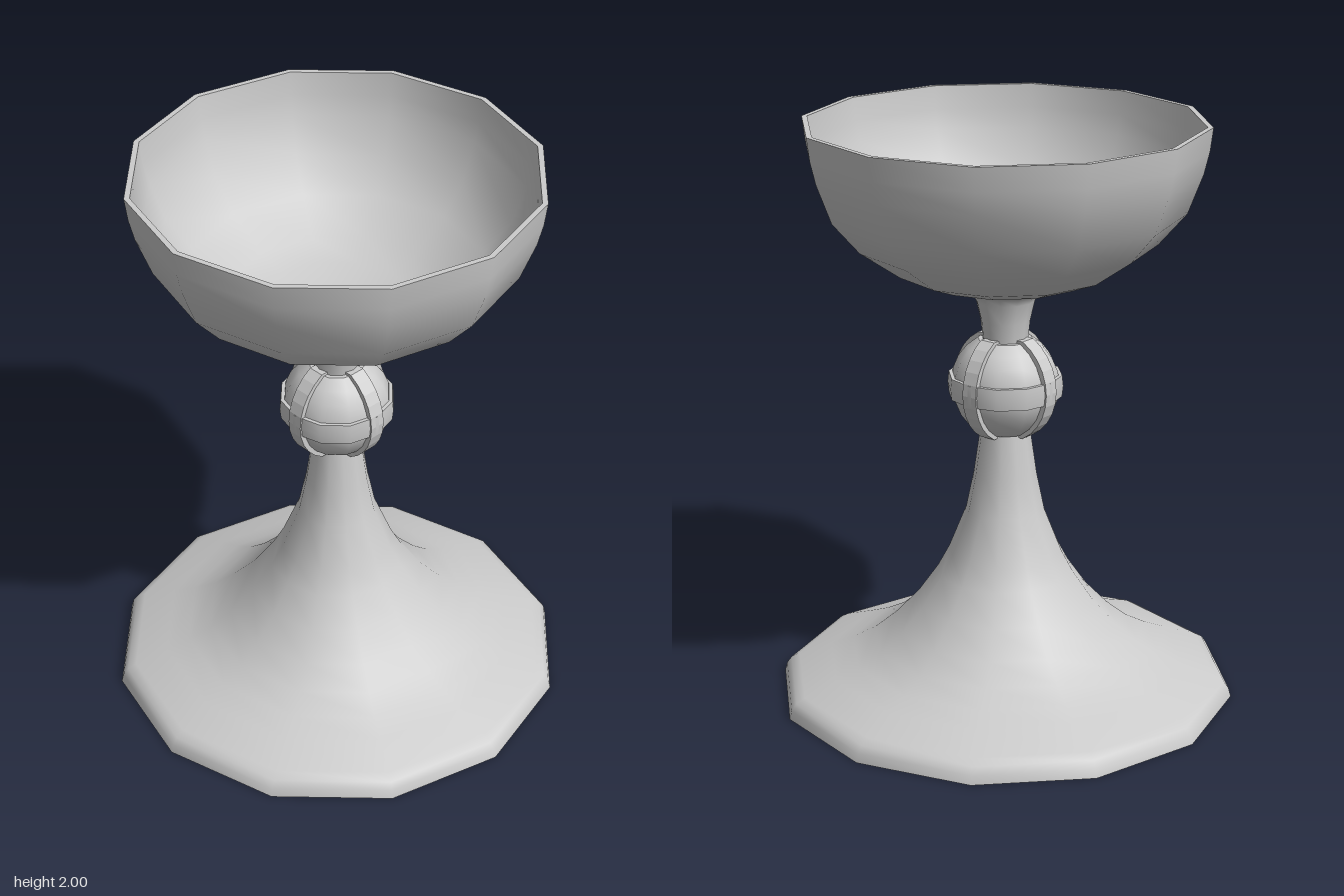
import * as THREE from 'three';

const SIDES = 12;
const KNOB_Y = 1.105;
const material = new THREE.MeshStandardMaterial({ color: 0xcccccc });

export function createModel() {
  const model = new THREE.Group();

  const add = (name, geometry, parent = model) => {
    const mesh = new THREE.Mesh(geometry, material);
    mesh.name = name;
    parent.add(mesh);
    return mesh;
  };
  // Twelve-sided turned surface; points run upwards on outward faces
  const turn = (name, profile, parent) =>
    add(name, new THREE.LatheGeometry(profile.map(([r, y]) => new THREE.Vector2(r, y)), SIDES), parent);

  // Foot: flat underside and flared skirt rising into the lower stem
  turn('footUnderside', [[0, 0], [0.79, 0]]);
  turn('foot', [
    [0.79, 0], [0.782, 0.03], [0.765, 0.053], [0.735, 0.07], [0.62, 0.113], [0.54, 0.145],
    [0.46, 0.188], [0.385, 0.25], [0.305, 0.335], [0.235, 0.435], [0.195, 0.51],
    [0.135, 0.66], [0.108, 0.79], [0.085, 0.95],
  ]);

  // Bowl: outer wall with upper stem, thin rim, hollow inside
  turn('bowlOutside', [
    [0.077, 1.26], [0.084, 1.33], [0.1, 1.4], [0.115, 1.425], [0.14, 1.44], [0.27, 1.472],
    [0.37, 1.51], [0.507, 1.605], [0.6, 1.712], [0.65, 1.845], [0.668, 1.92], [0.678, 2],
  ]);
  turn('bowlRim', [[0.678, 2], [0.659, 2]]);
  turn('bowlInside', [
    [0.659, 2], [0.649, 1.92], [0.631, 1.85], [0.583, 1.722], [0.494, 1.62],
    [0.362, 1.528], [0.265, 1.49], [0.13, 1.463], [0, 1.455],
  ]);

  // Knob: faceted ball with raised crossing bands
  const knob = new THREE.Group();
  knob.name = 'knob';
  knob.position.y = KNOB_Y;
  model.add(knob);

  const ball = [];
  const limit = Math.PI / 3;
  for (let i = 0; i <= 8; i++) {
    const a = -limit + (2 * limit * i) / 8;
    ball.push([0.185 * Math.cos(a), 0.185 * Math.sin(a)]);
  }
  turn('knobBall', ball, knob);
  turn('knobBottom', [[0, ball[0][1]], ball[0]], knob);
  turn('knobTop', [ball[8], [0, ball[8][1]]], knob);

  // Waist band around the ball
  turn('waistBand', [[0.193, -0.037], [0.197, 0], [0.193, 0.037]], knob);
  turn('waistBandLower', [[0.165, -0.037], [0.193, -0.037]], knob);
  turn('waistBandUpper', [[0.193, 0.037], [0.165, 0.037]], knob);

  // Four upright ribs, each a curved strip cut level at both ends
  const ribShape = new THREE.Shape();
  const reach = Math.asin(0.17 / 0.195);
  ribShape.moveTo(0.06, -0.17);
  for (let i = 0; i <= 10; i++) {
    const a = -reach + (2 * reach * i) / 10;
    ribShape.lineTo(0.195 * Math.cos(a), 0.195 * Math.sin(a));
  }
  ribShape.lineTo(0.06, 0.17);
  const ribGeometry = new THREE.ExtrudeGeometry(ribShape, { depth: 0.056, bevelEnabled: false });
  ribGeometry.translate(0, 0, -0.028);
  for (let i = 0; i < 4; i++) {
    add('knobRib', ribGeometry, knob).rotation.y = (i * Math.PI) / 2;
  }

  return model;
}
